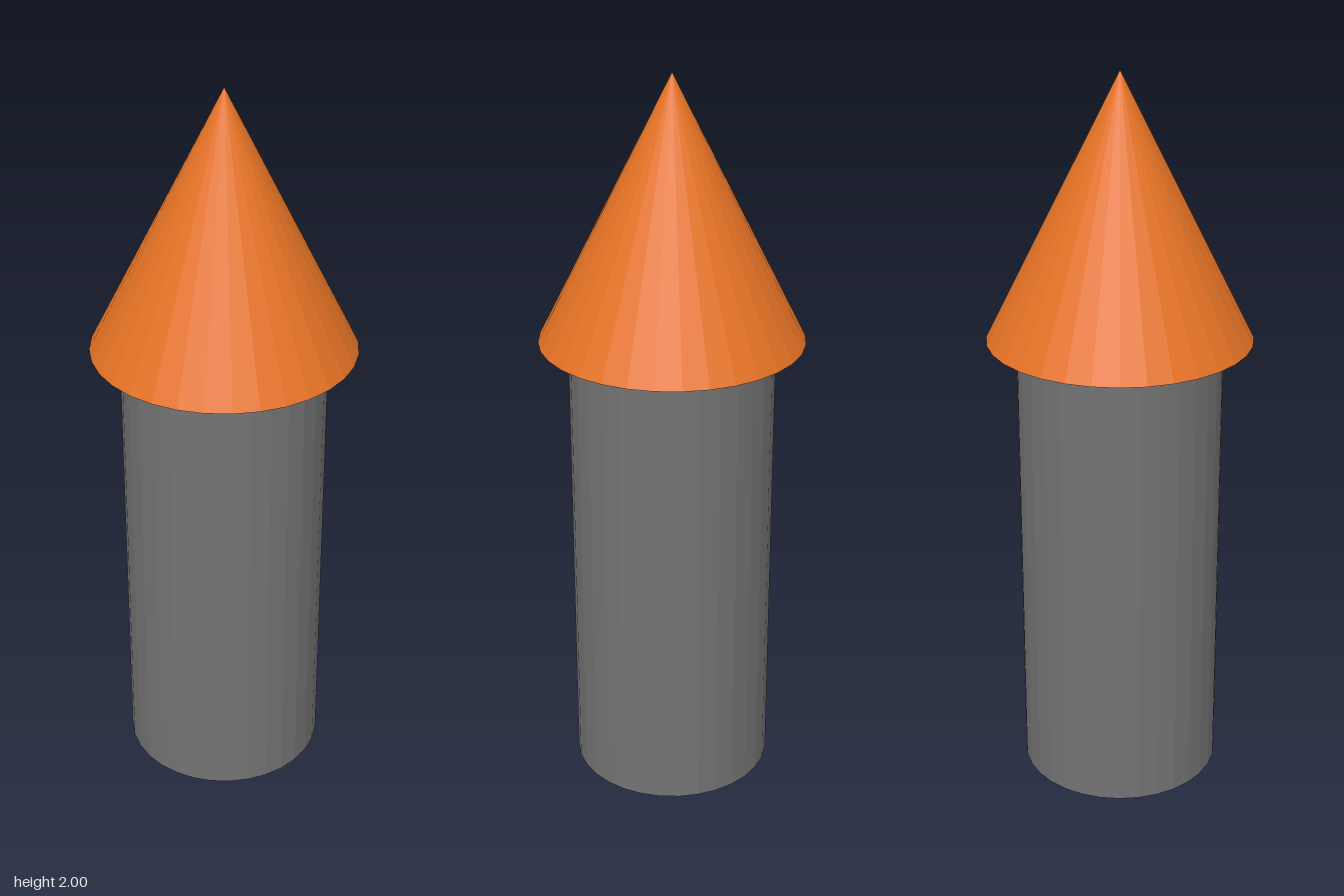
import * as THREE from 'three';

export function createModel() {
  const model = new THREE.Group();
  model.name = 'roundTower';

  const flat = (name, color) => {
    const material = new THREE.MeshStandardMaterial({ color, flatShading: true });
    material.name = name;
    return material;
  };
  const grey = flat('stoneGrey', 0x737373);
  const orange = flat('roofOrange', 0xe67326);

  const sides = 32;
  const bodyHeight = 1.286;
  const roofHeight = 2 - bodyHeight;

  // Plain cylindrical body
  const body = new THREE.Mesh(
    new THREE.CylinderGeometry(0.277, 0.277, bodyHeight, sides), grey);
  body.name = 'body';
  body.position.y = bodyHeight / 2;

  // Overhanging conical roof, closed underneath
  const roof = new THREE.Mesh(
    new THREE.ConeGeometry(0.357, roofHeight, sides), orange);
  roof.name = 'roof';
  roof.position.y = bodyHeight + roofHeight / 2;

  model.add(body, roof);
  return model;
}
